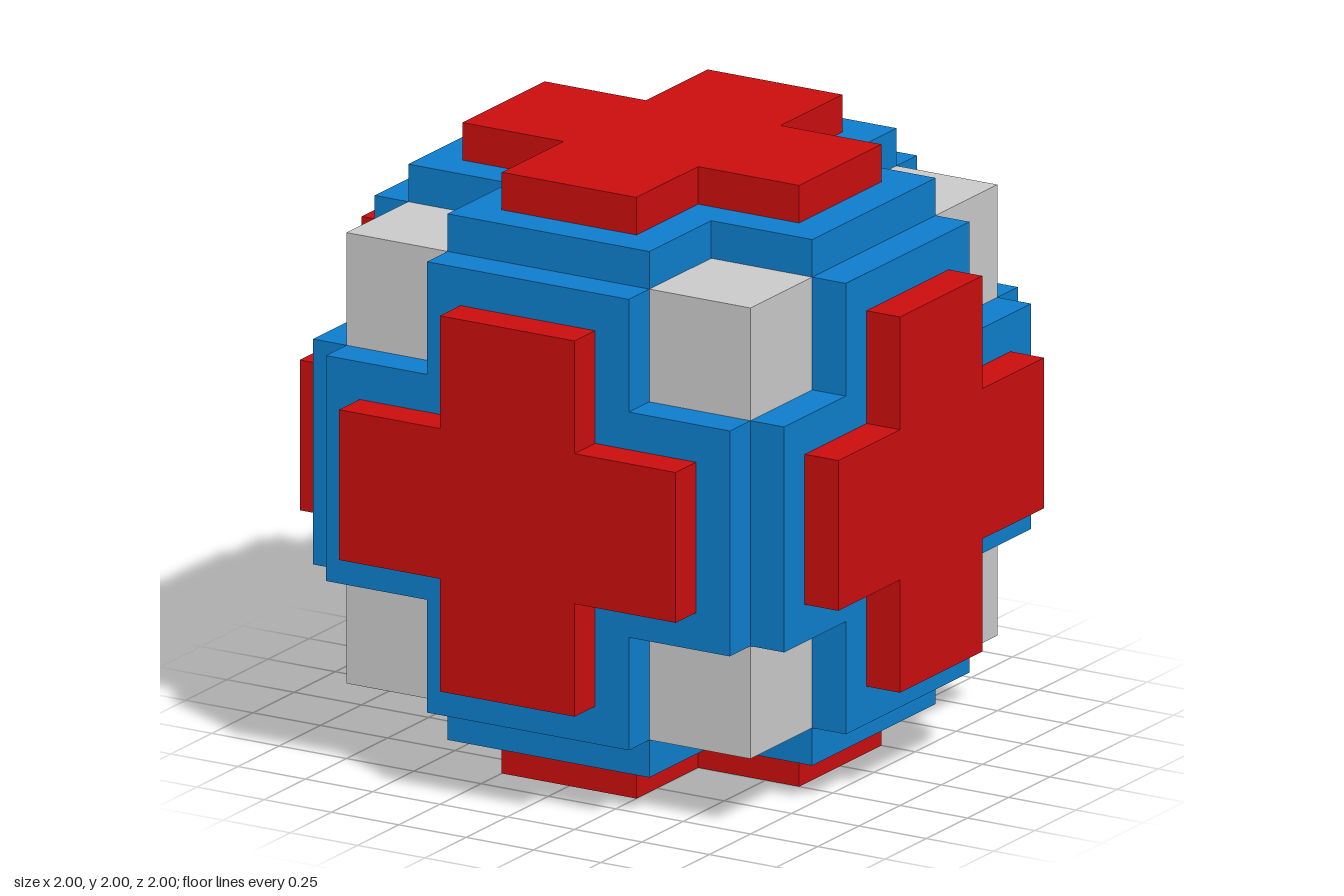
import * as THREE from 'three';

const red = new THREE.MeshStandardMaterial({ color: 0xca0d0d });
red.name = 'red';
const blue = new THREE.MeshStandardMaterial({ color: 0x0e7dcb });
blue.name = 'blue';
const lightGrey = new THREE.MeshStandardMaterial({ color: 0xc9c9c9 });
lightGrey.name = 'lightGrey';

const THICK = 0.125;

// Plus-shaped slab: arms reach `reach` and are 2 * `half` wide, its back at z = base
function plusSlab(reach, half, base) {
  const quarter = [[reach, -half], [reach, half], [half, half]];
  const points = [];
  for (let i = 0; i < 4; i++) {
    const c = [1, 0, -1, 0][i], s = [0, 1, 0, -1][i];
    for (const [x, y] of quarter) points.push(new THREE.Vector2(x * c - y * s, x * s + y * c));
  }
  return new THREE.ExtrudeGeometry(new THREE.Shape(points), { depth: THICK, bevelEnabled: false })
    .translate(0, 0, base);
}

export function createModel() {
  const model = new THREE.Group();
  model.name = 'crossPanelledBall';
  const body = new THREE.Group();
  body.name = 'body';
  body.position.y = 1;
  model.add(body);

  const add = (parent, name, geometry, material) => {
    const mesh = new THREE.Mesh(geometry, material);
    mesh.name = name;
    parent.add(mesh);
    return mesh;
  };

  // Inner core, just inside the panels and corner cubes
  add(body, 'core', new THREE.BoxGeometry(1.48, 1.48, 1.48), blue);

  // Six sides, each a wide blue cross carrying a smaller red cross
  const blueCross = plusSlab(0.75, 0.375, 0.75);
  const redCross = plusSlab(0.625, 0.25, 0.875);
  const q = Math.PI / 2;
  const sides = {
    front: [0, 0], back: [0, 2 * q], left: [0, q], right: [0, -q], top: [-q, 0], bottom: [q, 0],
  };
  for (const [name, [rx, ry]] of Object.entries(sides)) {
    const side = new THREE.Group();
    side.name = name + 'Side';
    side.rotation.set(rx, ry, 0);
    add(side, name + 'BluePanel', blueCross, blue);
    add(side, name + 'RedCross', redCross, red);
    body.add(side);
  }

  // Eight corner cubes
  const cube = new THREE.BoxGeometry(0.375, 0.375, 0.375);
  const d = 0.5625;
  for (const x of [-1, 1]) for (const y of [-1, 1]) for (const z of [-1, 1]) {
    add(body, 'cornerCube', cube, lightGrey).position.set(x * d, y * d, z * d);
  }
  return model;
}
